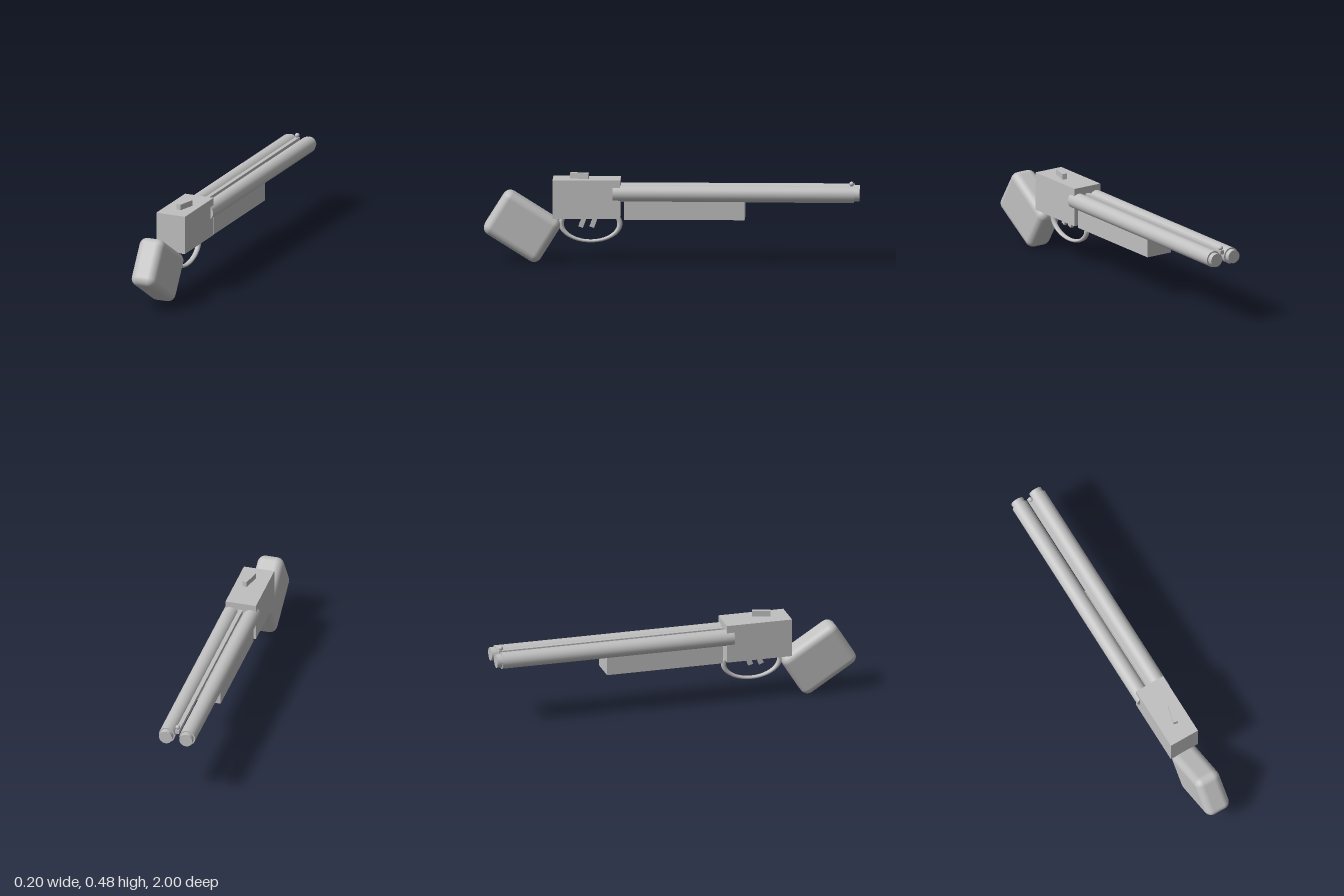
import * as THREE from 'three';
import { RoundedBoxGeometry } from 'three/addons/geometries/RoundedBoxGeometry.js';

export function createModel() {
  const model = new THREE.Group();
  const grey = new THREE.MeshStandardMaterial({ color: 0xc0c0c0 });
  grey.name = 'plain grey';

  function add(name, geometry, x, y, z) {
    const mesh = new THREE.Mesh(geometry, grey);
    mesh.name = name;
    mesh.position.set(x, y, z);
    model.add(mesh);
    return mesh;
  }
  // Box given by its extents in y and z, centred on x = 0
  const block = (name, width, y0, y1, z0, z1) =>
    add(name, new THREE.BoxGeometry(width, y1 - y0, z1 - z0), 0, (y0 + y1) / 2, (z0 + z1) / 2);
  // Cylinder lying along z
  const rod = (name, radius, x, y, z0, z1) =>
    add(name, new THREE.CylinderGeometry(radius, radius, z1 - z0, 32).rotateX(Math.PI / 2), x, y, (z0 + z1) / 2);

  // Body and fore-end
  block('receiver', 0.168, 0.242, 0.45, 0.272, 0.632);
  block('foreEnd', 0.152, 0.238, 0.342, -0.39, 0.252);

  // Twin barrels with narrower muzzles
  for (const side of [1, -1]) {
    const label = side > 0 ? 'left' : 'right';
    rod(label + 'Barrel', 0.044, side * 0.056, 0.375, -0.972, 0.312);
    rod(label + 'Muzzle', 0.036, side * 0.056, 0.375, -1, -0.95);
  }

  // Rib between the barrels and bead sight
  block('rib', 0.022, 0.39, 0.412, -0.97, 0.3);
  add('beadSight', new THREE.SphereGeometry(0.013, 16, 12), 0, 0.424, -0.957);

  // Slanted top lever
  const lever = add('topLever', new THREE.BoxGeometry(0.025, 0.04, 0.1), 0.015, 0.461, 0.49);
  lever.rotation.y = -0.25;

  // Oval guard and two triggers
  const guard = add('triggerGuard', new THREE.TorusGeometry(0.156, 0.014, 12, 48).rotateY(Math.PI / 2), 0, 0.206, 0.432);
  guard.scale.y = 0.6;
  for (const z of [0.469, 0.41]) {
    const trigger = add('trigger', new THREE.BoxGeometry(0.02, 0.09, 0.026), 0, 0.23, z);
    trigger.rotation.x = -0.35;
  }

  // Short rounded stock, tilted
  const stock = add('stock', new RoundedBoxGeometry(0.145, 0.267, 0.349, 3, 0.042), 0, 0.192, 0.796);
  stock.rotation.x = -0.56;

  return model;
}
